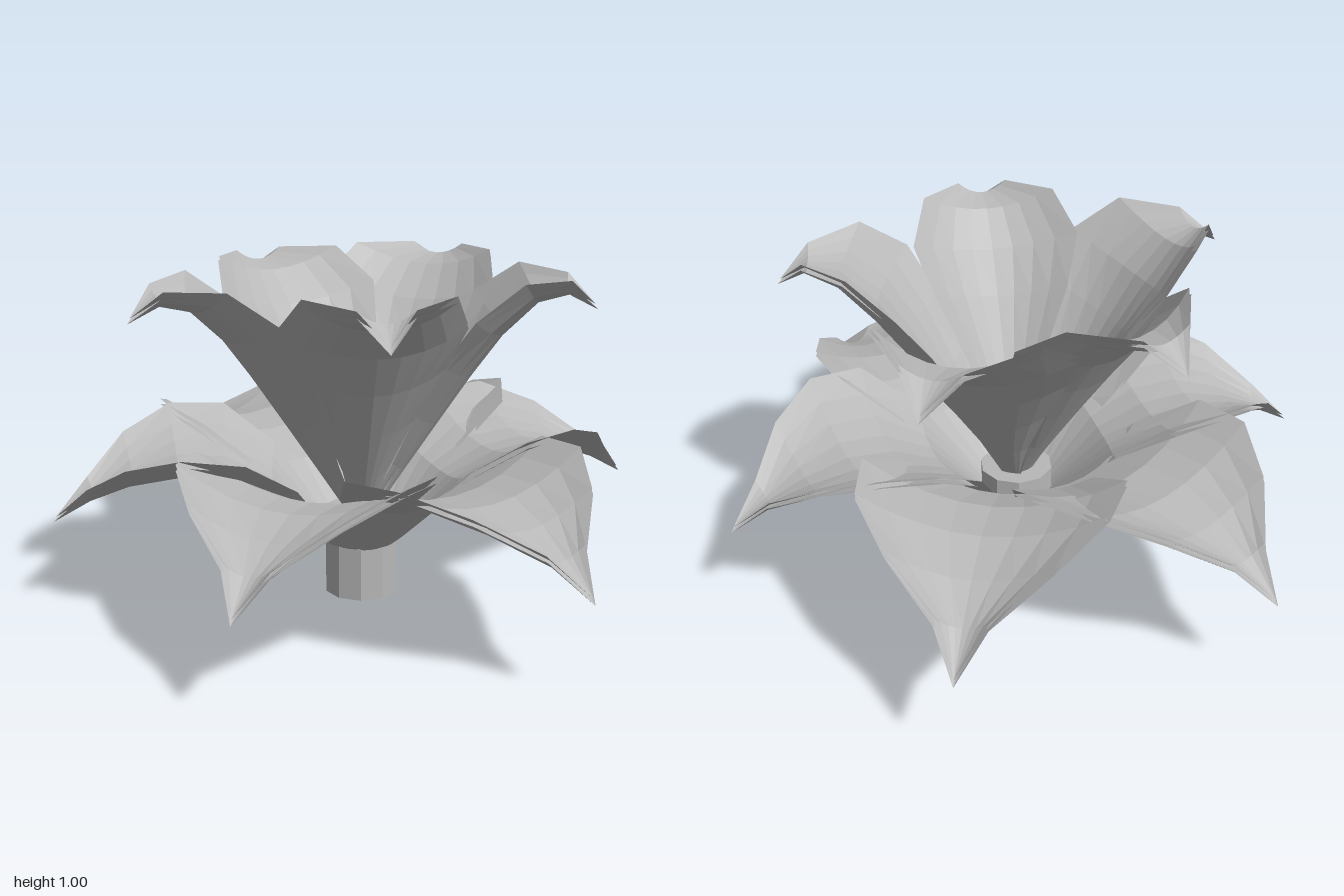
import * as THREE from 'three';

// Petal stations from base to tip: [distance, height, half width, cup depth]
const OUTER = [
  [0.04, 0.11, 0.03, 0], [0.13, 0.18, 0.09, 0.02], [0.3, 0.34, 0.26, 0.07], [0.45, 0.405, 0.365, 0.11],
  [0.6, 0.42, 0.335, 0.107], [0.75, 0.39, 0.215, 0.085], [0.88, 0.342, 0.07, 0.04], [1, 0.28, 0, 0],
];
const INNER = [
  [0.04, 0.25, 0.025, 0], [0.14, 0.4, 0.07, 0.03], [0.24, 0.55, 0.14, 0.065], [0.34, 0.7, 0.22, 0.095],
  [0.43, 0.825, 0.27, 0.1], [0.53, 0.92, 0.215, 0.078], [0.62, 0.94, 0.08, 0.035], [0.71, 0.895, 0, 0],
];
// Tip positions in plan: [x, z]
const OUTER_TIPS = [[1, 0], [0.57, 0.81], [-0.38, 0.86], [-1, 0.08], [-0.68, -0.78], [0.25, -0.87]];
const INNER_TIPS = [[0.59, 0.34], [-0.15, 0.7], [-0.71, -0.02], [-0.44, -0.68], [0.46, -0.52]];
const CENTRE = [0.0125, 0.018];
const COLUMNS = 8;
const THICKNESS = 0.018;

// Cupped petal of two thin sheets: each station is a parabola bent along the normal of the midline
function petalGeometry(stations, [tipX, tipZ]) {
  const dx = tipX - CENTRE[0], dz = tipZ - CENTRE[1];
  const length = Math.hypot(dx, dz);
  const scale = length / stations[stations.length - 1][0];
  const c = dx / length, s = dz / length;
  const positions = [], index = [];
  const row = COLUMNS + 1;
  [0, THICKNESS].forEach((offset, sheet) => {
    stations.forEach(([r, y, half, cup], i) => {
      const a = stations[Math.max(i - 1, 0)];
      const b = stations[Math.min(i + 1, stations.length - 1)];
      const slope = Math.atan2(b[1] - a[1], b[0] - a[0]);
      for (let j = 0; j <= COLUMNS; j++) {
        const u = (2 * j) / COLUMNS - 1;
        const bend = cup * u * u;
        // The upper sheet stops a little short of the tip
        const along = (r - bend * Math.sin(slope) - offset * Math.abs(Math.sin(slope))) * scale;
        const across = half * u * Math.sqrt(scale);
        const height = y + (bend + offset) * Math.cos(slope);
        positions.push(CENTRE[0] + along * c - across * s, height, CENTRE[1] + along * s + across * c);
        if (i && j) {
          const q = (sheet * stations.length + i) * row + j, p = q - row;
          index.push(p - 1, p, q - 1);
          if (i < stations.length - 1) index.push(p, q, q - 1);
        }
      }
    });
  });
  const geometry = new THREE.BufferGeometry();
  geometry.setAttribute('position', new THREE.Float32BufferAttribute(positions, 3));
  geometry.setIndex(index);
  geometry.computeVertexNormals();
  return geometry;
}

export function createModel() {
  const model = new THREE.Group();
  model.name = 'flower';
  const grey = new THREE.MeshStandardMaterial({ color: 0xb8b8b8, flatShading: true, side: THREE.DoubleSide });
  grey.name = 'lightGrey';

  // Short faceted stem
  const stem = new THREE.Mesh(new THREE.CylinderGeometry(0.114, 0.114, 0.265, 10), grey);
  stem.name = 'stem';
  stem.position.set(CENTRE[0], 0.1325, CENTRE[1]);
  stem.rotation.y = Math.PI / 2;
  model.add(stem);

  // Two whorls of petals
  const addWhorl = (name, stations, tips) => {
    const whorl = new THREE.Group();
    whorl.name = name + 's';
    tips.forEach((tip, i) => {
      const petal = new THREE.Mesh(petalGeometry(stations, tip), grey);
      petal.name = name + (i + 1);
      whorl.add(petal);
    });
    model.add(whorl);
  };
  addWhorl('outerPetal', OUTER, OUTER_TIPS);
  addWhorl('innerPetal', INNER, INNER_TIPS);
  return model;
}
